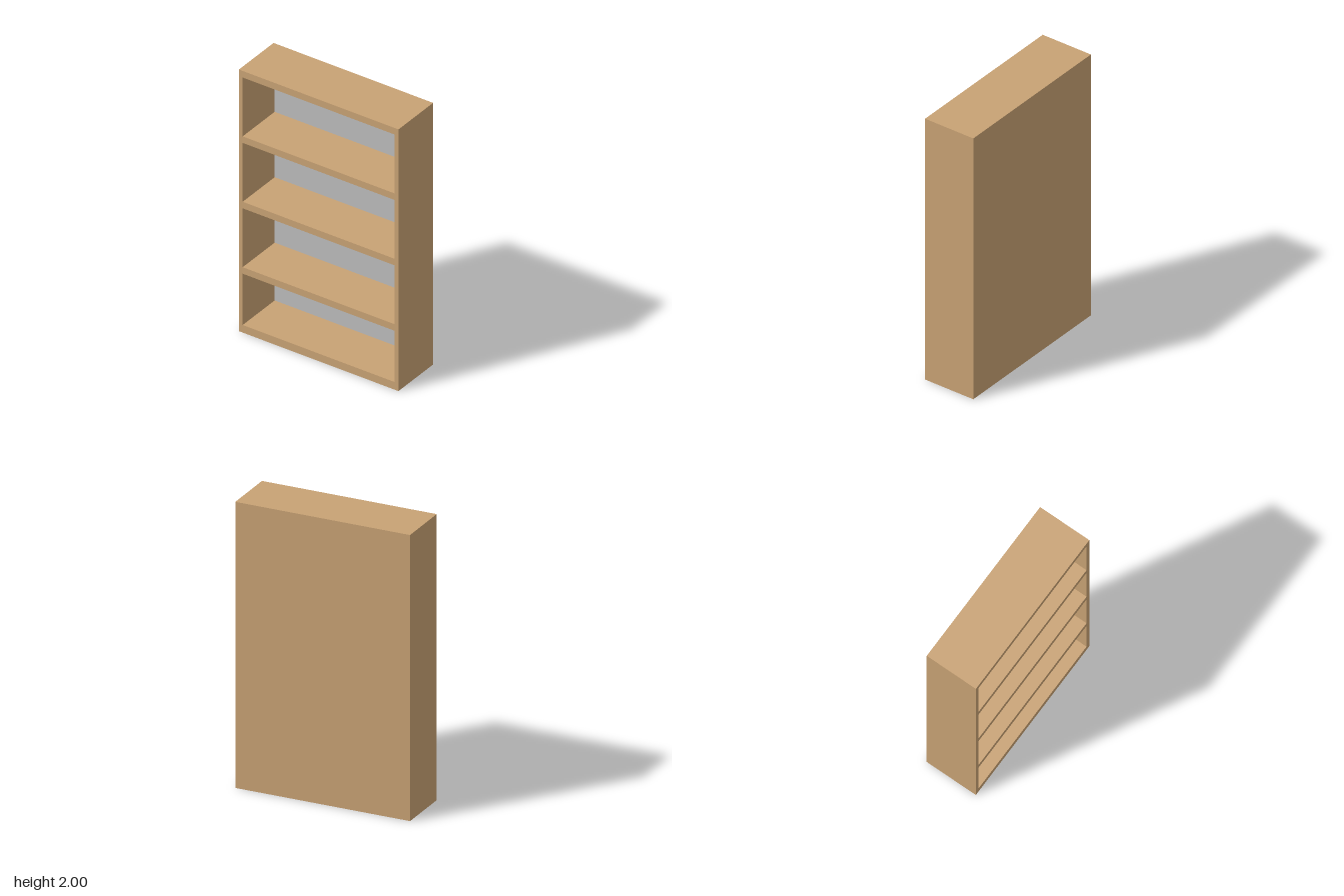
import * as THREE from 'three';

export function createModel() {
  const group = new THREE.Group();
  group.name = 'bookcase';
  const wood = new THREE.MeshStandardMaterial({ color: 0xc8a274 });
  wood.name = 'wood';
  const grey = new THREE.MeshStandardMaterial({ color: 0xbcbcbc });
  grey.name = 'grey lining';

  const W = 1.256, H = 2, D = 0.39, side = 0.03, back = 0.03;
  const innerW = W - 2 * side;
  const innerD = D - back;

  const addBox = (name, w, y0, y1, d, x, z, material) => {
    const mesh = new THREE.Mesh(new THREE.BoxGeometry(w, y1 - y0, d), material);
    mesh.name = name;
    mesh.position.set(x, (y0 + y1) / 2, z);
    group.add(mesh);
  };

  // Upright sides
  for (const s of [-1, 1]) {
    addBox(s > 0 ? 'leftSide' : 'rightSide', side, 0, H, D, s * (W - side) / 2, 0, wood);
  }

  // Back panel: only its inner face is grey
  const panel = new THREE.BoxGeometry(innerW, H, back);
  const backPanel = new THREE.Mesh(panel, [wood, wood, wood, wood, grey, wood]);
  backPanel.name = 'backPanel';
  backPanel.position.set(0, H / 2, -D / 2 + back / 2);
  group.add(backPanel);

  // Base, shelves and top board
  const boards = [
    ['base', 0, 0.058],
    ['lowerShelf', 0.45, 0.5],
    ['middleShelf', 0.95, 1],
    ['upperShelf', 1.45, 1.5],
    ['topBoard', 1.95, 2],
  ];
  for (const [name, y0, y1] of boards) {
    addBox(name, innerW, y0, y1, innerD, 0, back / 2, wood);
  }

  return group;
}
